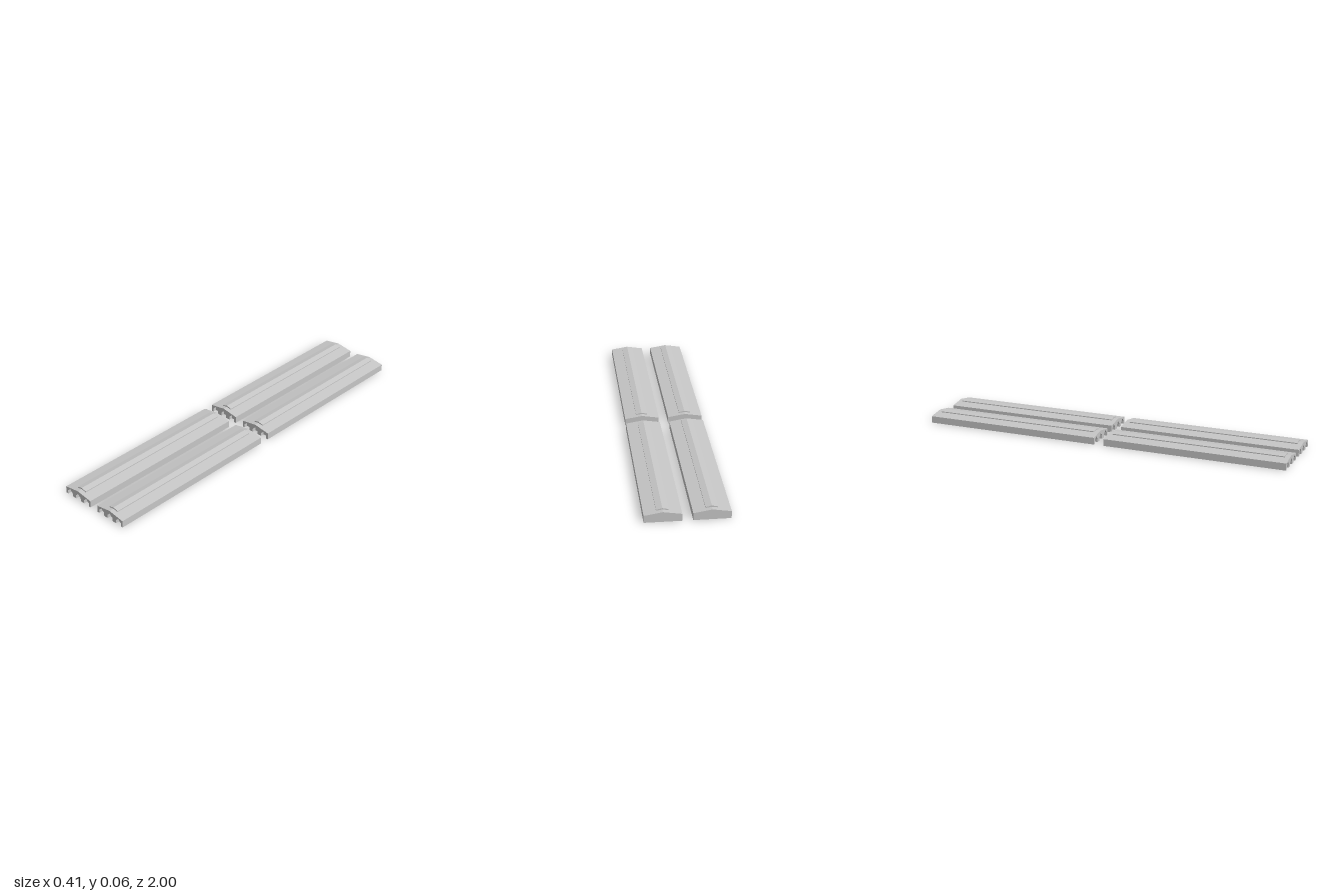
import * as THREE from 'three';

const grey = new THREE.MeshStandardMaterial({ color: 0xc6c6c6, side: THREE.DoubleSide });
grey.name = 'light grey';

// Cross-section of one shed (half widths and heights)
const W = 0.0895, EAVE = 0.0365, RIDGE = 0.051;
const C = 0.0295, CAP_BASE = 0.0462, CAP_EDGE = 0.051, CAP_TOP = 0.058;
const LEN = 0.973, CAP_INSET = 0.025;
// Door niches
const DOOR_X = [-0.0595, 0, 0.0595], DOOR_W = 0.0175, DOOR_SIDE = 0.019, DOOR_TOP = 0.035, NICHE = 0.02;

function add(group, name, geometry, z = 0) {
  const mesh = new THREE.Mesh(geometry, grey);
  mesh.name = name;
  mesh.position.z = z;
  group.add(mesh);
}

// Flat-faced sheet: an open profile in x, y swept from zBack to zFront
function sheet(profile, zBack, zFront) {
  const v = [];
  for (let i = 0; i + 1 < profile.length; i++) {
    const [px, py] = profile[i], [qx, qy] = profile[i + 1];
    v.push(px, py, zFront, qx, qy, zFront, qx, qy, zBack);
    v.push(px, py, zFront, qx, qy, zBack, px, py, zBack);
  }
  const g = new THREE.BufferGeometry();
  g.setAttribute('position', new THREE.Float32BufferAttribute(v, 3));
  g.computeVertexNormals();
  return g;
}

const plate = (points) => new THREE.ShapeGeometry(new THREE.Shape(points.map(([x, y]) => new THREE.Vector2(x, y))));

const doorOutline = (x) => [
  [x - DOOR_W, 0], [x - DOOR_W, DOOR_SIDE], [x, DOOR_TOP], [x + DOOR_W, DOOR_SIDE], [x + DOOR_W, 0],
];

function createShed() {
  const shed = new THREE.Group();
  const front = LEN / 2, back = -LEN / 2;
  const capFront = front - CAP_INSET, capBack = back + CAP_INSET;

  // Side walls and roof slopes, open along the ridge under the cap
  const leftSide = [[-W, 0], [-W, EAVE], [-C, CAP_BASE]];
  const rightSide = leftSide.map(([x, y]) => [-x, y]).reverse();
  add(shed, 'rightWallAndRoof', sheet(leftSide, back, front));
  add(shed, 'leftWallAndRoof', sheet(rightSide, back, front));
  const ridge = [[-C, CAP_BASE], [0, RIDGE], [C, CAP_BASE]];
  add(shed, 'frontRidgeRoof', sheet(ridge, capFront, front));
  add(shed, 'backRidgeRoof', sheet(ridge, back, capBack));

  // Raised ridge cap
  const cap = [[-C, CAP_BASE], [-C, CAP_EDGE], [0, CAP_TOP], [C, CAP_EDGE], [C, CAP_BASE]];
  add(shed, 'ridgeCap', sheet(cap, capBack, capFront));
  const capEnd = [...cap, [0, RIDGE]];
  add(shed, 'ridgeCapFrontEnd', plate(capEnd), capFront);
  add(shed, 'ridgeCapBackEnd', plate(capEnd).rotateY(Math.PI), capBack);

  // Gable walls, the front one notched for the doors
  const gable = [[W, 0], [W, EAVE], [0, RIDGE], [-W, EAVE], [-W, 0]];
  add(shed, 'backWall', plate(gable).rotateY(Math.PI), back);
  add(shed, 'frontWall', plate([...gable, ...DOOR_X.flatMap(doorOutline)]), front);

  // Recessed doors with their reveals
  for (const x of DOOR_X) {
    add(shed, 'door', plate(doorOutline(x)), front - NICHE);
    add(shed, 'doorReveal', sheet(doorOutline(x).reverse(), front - NICHE, front));
  }
  return shed;
}

export function createModel() {
  const model = new THREE.Group();
  model.name = 'shedRows';
  for (const x of [-0.115, 0.115]) {
    for (const z of [-1 + LEN / 2, 1 - LEN / 2]) {
      const shed = createShed();
      shed.name = 'shed';
      shed.position.set(x, 0, z);
      model.add(shed);
    }
  }
  return model;
}
